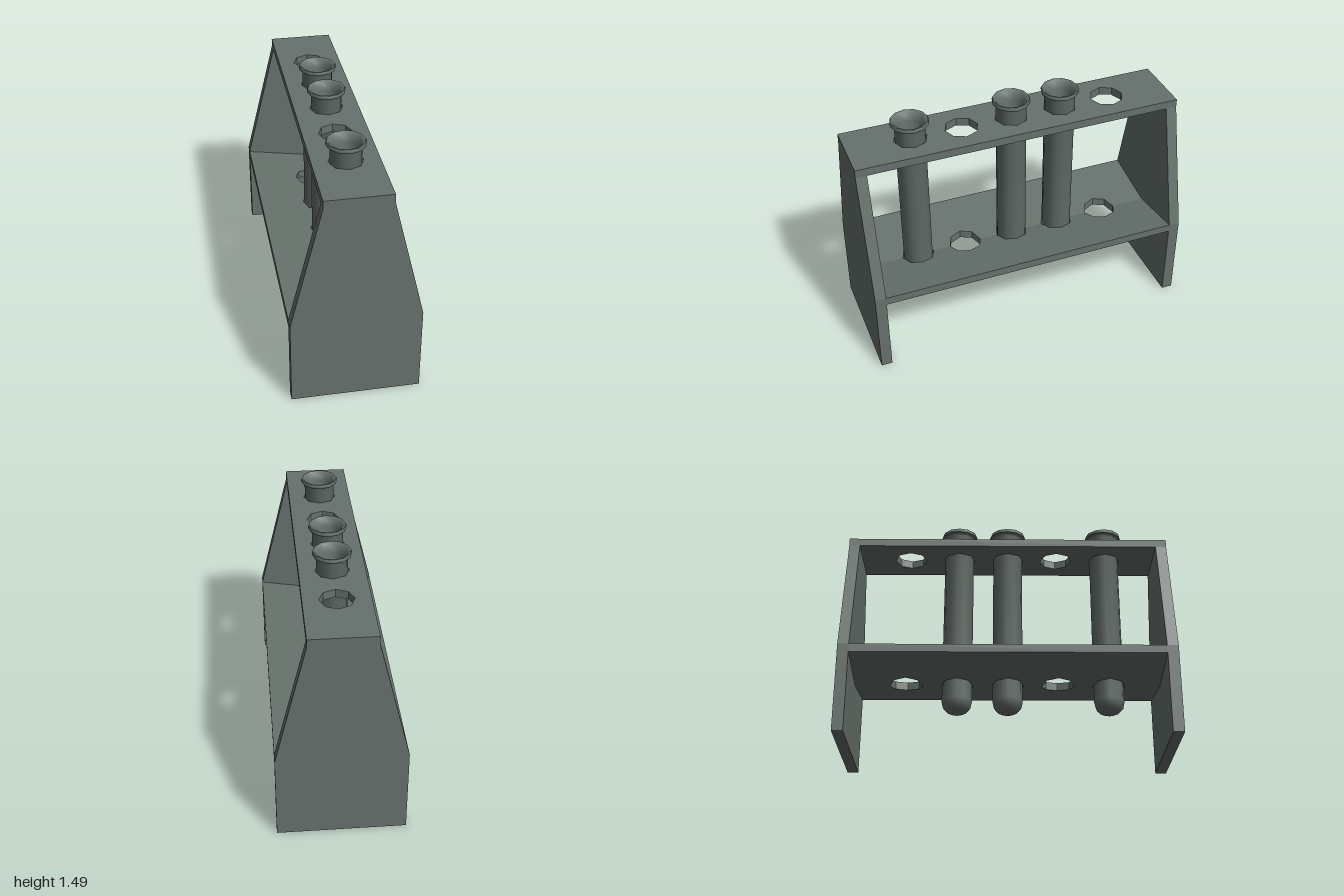
import * as THREE from 'three';
import { toCreasedNormals } from 'three/addons/utils/BufferGeometryUtils.js';

const HOLES = [-0.62, -0.31, 0, 0.31, 0.62];
const TUBES = [-0.31, 0, 0.62];
const HOLE_R = 0.1;

export function createModel() {
  const model = new THREE.Group();
  const frameMat = new THREE.MeshStandardMaterial({ color: 0x66716c, flatShading: true });
  const tubeMat = new THREE.MeshStandardMaterial({ color: 0x66716c });
  const add = (name, geometry, material) => {
    const mesh = new THREE.Mesh(geometry, material);
    mesh.name = name;
    model.add(mesh);
    return mesh;
  };

  // Half of a board on one side of x = 0, with half-octagon notches along the middle;
  // the outer edge is raised by "rise" above the middle.
  const halfBoard = (side, halfWidth, halfLength, midTop, thickness, rise) => {
    const shape = new THREE.Shape();
    shape.moveTo(side * halfWidth, halfLength);
    shape.lineTo(side * halfWidth, -halfLength);
    shape.lineTo(0, -halfLength);
    for (const z of HOLES) {
      for (let i = 0; i <= 4; i++) {
        const a = -Math.PI / 2 + (i * Math.PI) / 4;
        shape.lineTo(i % 4 ? side * HOLE_R * Math.cos(a) : 0, z + HOLE_R * Math.sin(a));
      }
    }
    shape.lineTo(0, halfLength);
    const geo = new THREE.ExtrudeGeometry(shape, { depth: thickness, bevelEnabled: false });
    geo.rotateX(Math.PI / 2);
    const p = geo.attributes.position;
    for (let i = 0; i < p.count; i++) {
      p.setY(i, p.getY(i) + midTop + (rise * Math.abs(p.getX(i))) / halfWidth);
    }
    geo.computeVertexNormals();
    return geo;
  };

  // Flat top plate and shallow V-shaped shelf
  for (const side of [1, -1]) {
    const hand = side > 0 ? 'left' : 'right';
    add(`${hand}TopPlate`, halfBoard(side, 0.193, 1, 1.357, 0.05, 0), frameMat);
    add(`${hand}Shelf`, halfBoard(side, 0.38, 0.933, 0.478, 0.05, 0.062), frameMat);
  }

  // Tapered end panels
  const panel = new THREE.Shape([
    [-0.38, 0], [0.38, 0], [0.38, 0.54], [0.193, 1.307], [-0.193, 1.307], [-0.38, 0.54],
  ].map(([x, y]) => new THREE.Vector2(x, y)));
  const panelGeo = new THREE.ExtrudeGeometry(panel, { depth: 0.067, bevelEnabled: false });
  add('frontPanel', panelGeo, frameMat).position.z = 0.933;
  add('backPanel', panelGeo, frameMat).position.z = -1;

  // Hollow test tubes: outside from the bottom up, over the lip, then down the inside
  const profile = [
    [0, 0.25], [0.035, 0.25], [0.062, 0.262], [0.083, 0.285], [0.092, 0.325],
    [0.092, 1.445], [0.098, 1.458], [0.112, 1.462], [0.115, 1.473], [0.11, 1.485],
    [0.1, 1.484], [0.084, 1.46], [0.075, 1.43],
    [0.075, 0.335], [0.066, 0.302], [0.045, 0.28], [0, 0.27],
  ].map(([x, y]) => new THREE.Vector2(x, y));
  const tubeGeo = toCreasedNormals(new THREE.LatheGeometry(profile, 12), 0.9);
  for (const z of TUBES) add('testTube', tubeGeo, tubeMat).position.z = z;

  return model;
}
